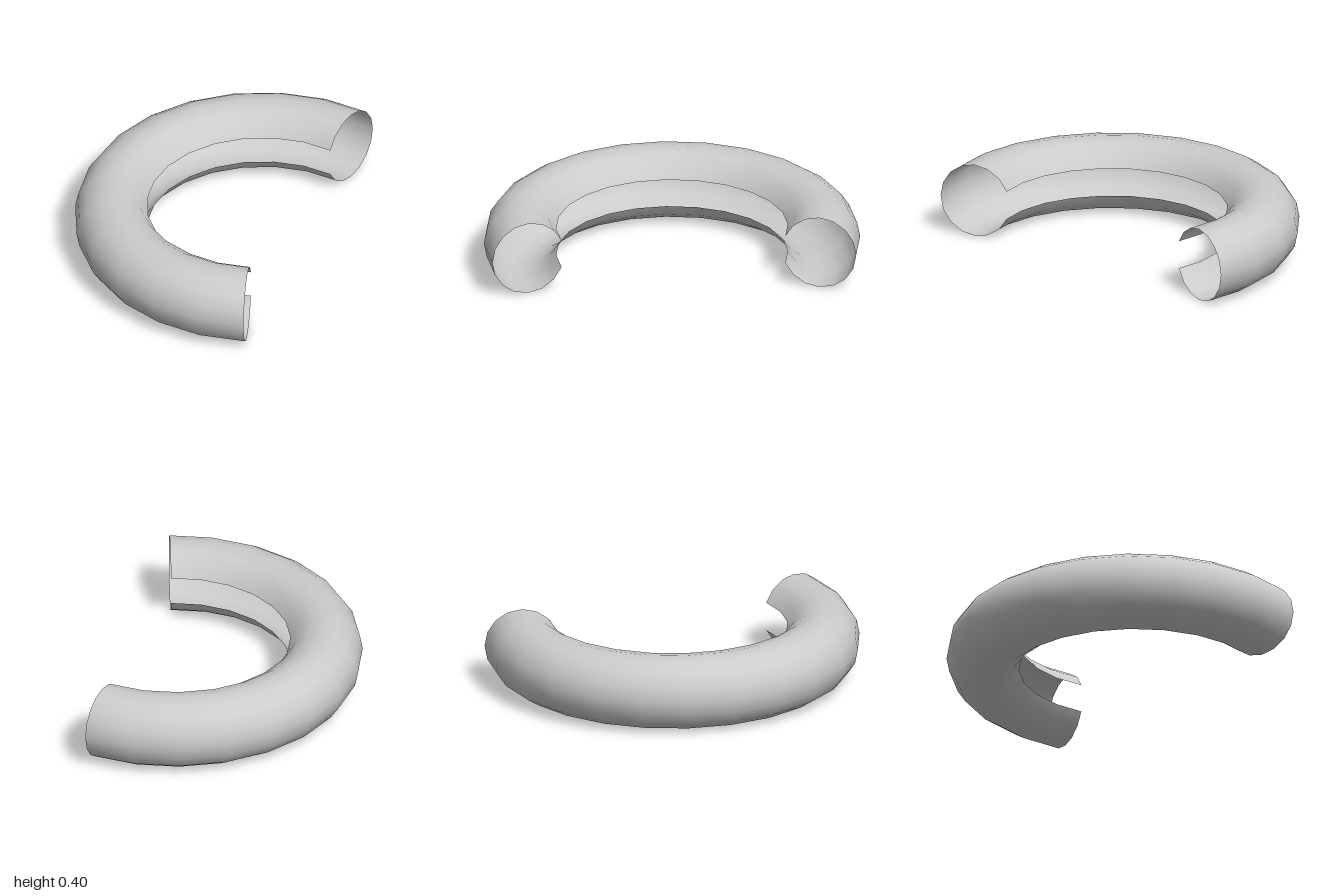
import * as THREE from 'three';

const RING = 0.8;      // ring centre-line radius
const TUBE = 0.2;      // tube radius
const SIDES = 16;      // sides of a full tube; two are left out for the slot
const SEGMENTS = 14;   // 15 degree steps along the arc

export function createModel() {
  const group = new THREE.Group();
  group.name = 'slottedRing';

  // Tube section, from the lower slot edge around the outside to the upper one
  const profile = [];
  for (let i = 1; i < SIDES; i++) {
    const a = -Math.PI + (i / SIDES) * Math.PI * 2;
    profile.push(new THREE.Vector2(RING + TUBE * Math.cos(a), TUBE + TUBE * Math.sin(a)));
  }

  // Sweep through 210 degrees, leaving the opening towards +x
  const geometry = new THREE.LatheGeometry(
    profile, SEGMENTS, THREE.MathUtils.degToRad(-195), THREE.MathUtils.degToRad(210));
  const material = new THREE.MeshStandardMaterial({ color: 0xcccccc, side: THREE.DoubleSide });
  const shell = new THREE.Mesh(geometry, material);
  shell.name = 'curvedTubeShell';

  // Centre the open arc on x
  shell.position.x = (1 - Math.cos(THREE.MathUtils.degToRad(75))) / 2;
  group.add(shell);
  return group;
}
